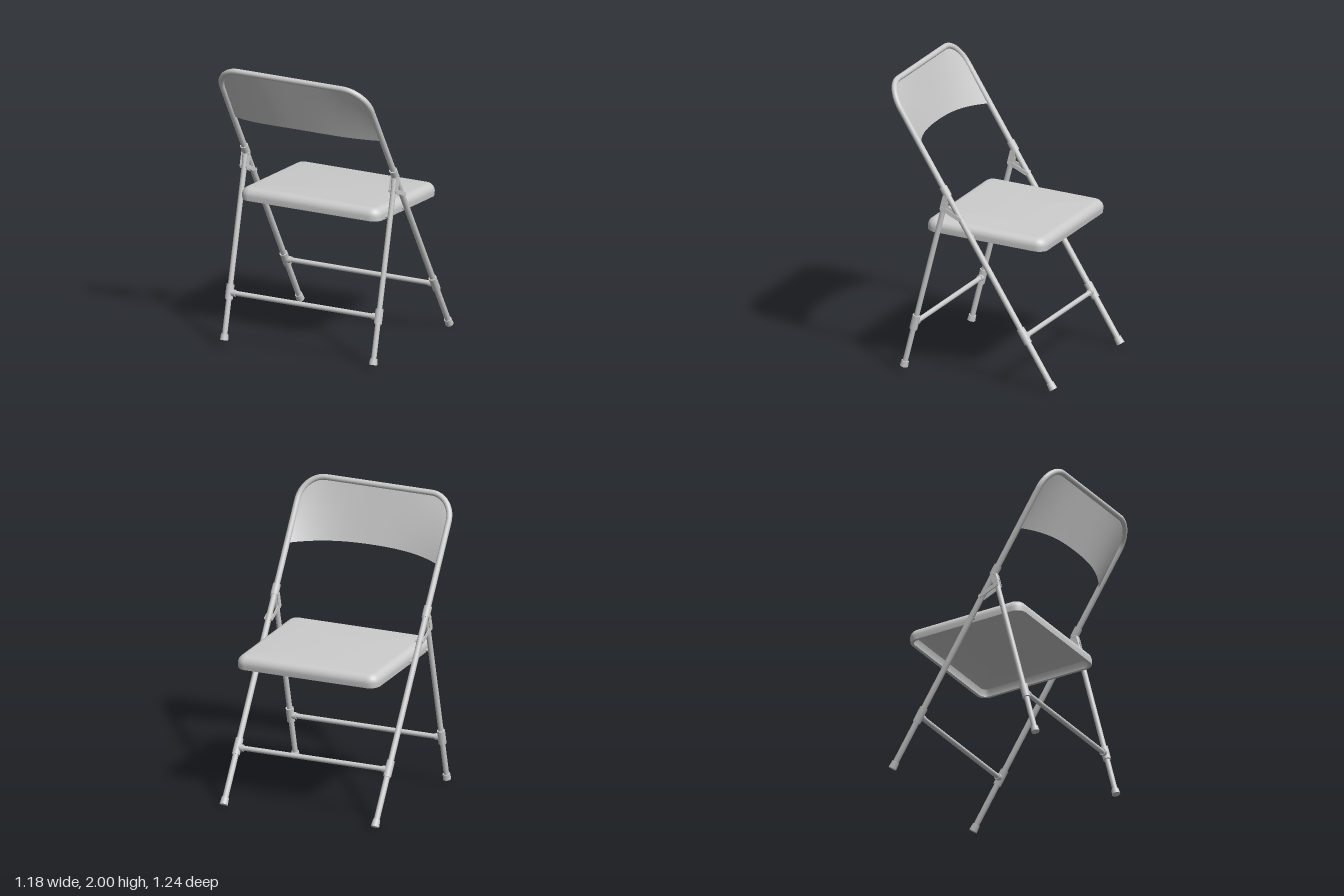
import * as THREE from 'three';
import { toCreasedNormals } from 'three/addons/utils/BufferGeometryUtils.js';

const SIDE = 0.56;   // x of the side tubes
const TOP = 1.98;    // y of the top rail
const CORNER = { x: 0.17, y: 0.155 };
const BAR_Y = 0.355; // height of both crossbars

// z of each sloping tube at a given height
const frameZ = y => -0.595 + (y - 0.015) / 1.6375;
const legZ = y => 0.488 - (y - 0.045) * 0.254;
const onFrame = (x, y) => new THREE.Vector3(x, y, frameZ(y));
const onLeg = (x, y) => new THREE.Vector3(x, y, legZ(y));

const material = new THREE.MeshStandardMaterial({ color: 0xcccccc });
const thin = new THREE.MeshStandardMaterial({ color: 0xcccccc, side: THREE.DoubleSide });

function part(name, geometry, mat = material) {
  const mesh = new THREE.Mesh(geometry, mat);
  mesh.name = name;
  return mesh;
}

// Cylinder from a to b
function rod(name, a, b, r, rEnd = r) {
  const dir = b.clone().sub(a);
  const mesh = part(name, new THREE.CylinderGeometry(rEnd, r, dir.length(), 24));
  mesh.position.copy(a).lerp(b, 0.5);
  mesh.quaternion.setFromUnitVectors(new THREE.Vector3(0, 1, 0), dir.normalize());
  return mesh;
}

// Flat round-ended plate between two points of the side plane, at a given x
function plate(name, x, a, b, r) {
  const ang = Math.atan2(b.y - a.y, a.z - b.z);
  const shape = new THREE.Shape();
  shape.absarc(-b.z, b.y, r, ang - Math.PI / 2, ang + Math.PI / 2);
  shape.absarc(-a.z, a.y, r, ang + Math.PI / 2, ang + Math.PI * 1.5);
  const geo = new THREE.ExtrudeGeometry(shape, { depth: 0.006, bevelEnabled: false, curveSegments: 8 });
  geo.rotateY(Math.PI / 2).translate(x - 0.003, 0, 0);
  return part(name, geo);
}

// Bent tube: front legs, back posts and top rail in one piece
function mainFrame() {
  const k = 0.4477, path = new THREE.CurvePath();
  const low = TOP - CORNER.y, inX = SIDE - CORNER.x;
  const bend = s => [
    onFrame(s * SIDE, low), onFrame(s * SIDE, TOP - CORNER.y * k),
    onFrame(s * (SIDE - CORNER.x * k), TOP), onFrame(s * inX, TOP),
  ];
  path.add(new THREE.LineCurve3(onFrame(-SIDE, 0.03), onFrame(-SIDE, low)));
  path.add(new THREE.CubicBezierCurve3(...bend(-1)));
  path.add(new THREE.LineCurve3(onFrame(-inX, TOP), onFrame(inX, TOP)));
  path.add(new THREE.CubicBezierCurve3(...bend(1).reverse()));
  path.add(new THREE.LineCurve3(onFrame(SIDE, low), onFrame(SIDE, 0.03)));
  return part('mainFrame', new THREE.TubeGeometry(path, 240, 0.02, 16));
}

// Sheet hung inside the top bend, bowing backwards towards its lower edge
function backPanel() {
  const geo = new THREE.PlaneGeometry(2, 1, 48, 12);
  const pos = geo.attributes.position;
  for (let i = 0; i < pos.count; i++) {
    const t = Math.sin(pos.getX(i) * Math.PI / 2), v = pos.getY(i) + 0.5;
    const x = t * (SIDE - 0.005);
    const c = Math.max(0, Math.abs(x) - SIDE + CORNER.x) / CORNER.x;
    const yTop = TOP - CORNER.y * (1 - Math.sqrt(1 - c * c));
    const yLow = 1.6 - 0.03 * t * t;
    const y = yLow + (yTop - yLow) * v;
    pos.setXYZ(i, x, y, frameZ(y) + 0.107 * (1 - Math.abs(t) ** 3) * (1 - v));
  }
  geo.computeVertexNormals();
  return part('backPanel', geo, thin);
}

// Pressed seat pan: rounded rectangles lofted over the edge and up the hollow underside
function seat() {
  const W = 0.525, L = 0.434, H = 0.087, R = 0.055;
  const profile = [[null, H]];
  for (let i = 0; i <= 8; i++) {
    const a = (i / 8) * Math.PI / 2;
    profile.push([R * (1 - Math.sin(a)), H - R * (1 - Math.cos(a))]);
  }
  profile.push([0.003, 0], [0.024, 0], [0.026, 0.02], [0.038, 0.048], [0.085, 0.07], [null, 0.07]);
  const verts = [], index = [], n = 32;
  for (const [inset, y] of profile) {
    const r = inset === null ? 0 : Math.max(0.075 - inset, 0.015);
    for (let j = 0; j < n; j++) {
      const q = Math.floor(j / 8), a = (q + (j % 8) / 7) * Math.PI / 2;
      const sx = q === 0 || q === 3 ? 1 : -1, sz = q < 2 ? 1 : -1;
      if (inset === null) verts.push(0, y, 0);
      else verts.push(sx * (W - inset - r) + r * Math.cos(a), y, sz * (L - inset - r) + r * Math.sin(a));
    }
  }
  for (let i = 0; i < profile.length - 1; i++) {
    for (let j = 0; j < n; j++) {
      const a = i * n + j, b = i * n + (j + 1) % n;
      if (i > 0) index.push(a, b, a + n);
      if (i < profile.length - 2) index.push(b, b + n, a + n);
      if (i === 0) index.push(a, b + n, a + n);
    }
  }
  const geo = new THREE.BufferGeometry();
  geo.setAttribute('position', new THREE.Float32BufferAttribute(verts, 3));
  geo.setIndex(index);
  const mesh = part('seat', toCreasedNormals(geo, 0.6));
  mesh.position.set(0, 0.967, -0.076);
  mesh.rotation.x = -0.062;
  return mesh;
}

// Legs, feet, sleeves, hinge and seat pins of one side
function sideParts(s) {
  const g = new THREE.Group();
  g.name = s > 0 ? 'leftSide' : 'rightSide';
  const x = s * SIDE;
  g.add(rod('rearLeg', onLeg(x, 0.055), onLeg(x, 1.25), 0.018));

  // Rubber feet and crossbar sleeves
  for (const [name, at, y0, y1] of [['front', onFrame, 0.015, 0.058], ['rear', onLeg, 0.045, 0.083]]) {
    g.add(rod(name + 'Foot', at(x, y0), at(x, y1), 0.028, 0.025));
    g.add(rod(name + 'Sleeve', at(x, 0.312), at(x, 0.408), 0.027));
    g.add(rod(name + 'Socket', at(x, BAR_Y), at(x - s * 0.045, BAR_Y), 0.023));
  }

  // Folding hinge: collar on the post, cap on the leg, and paired links
  g.add(rod('hingeCollar', onFrame(x, 1.262), onFrame(x, 1.325), 0.027));
  g.add(rod('legCap', onLeg(x, 1.215), onLeg(x, 1.275), 0.022));
  const legPin = onLeg(x, 1.18), framePin = onFrame(x, 1.12), topPin = onLeg(x, 1.26);
  for (const d of [-0.023, 0.023]) {
    g.add(plate('foldingLink', x + d, legPin, framePin, 0.014));
    g.add(plate('hingePlate', x + d, legPin, topPin, 0.019));
  }
  for (const p of [legPin, framePin, topPin]) {
    const off = new THREE.Vector3(0.029, 0, 0);
    g.add(rod('rivet', p.clone().sub(off), p.clone().add(off), 0.009));
  }

  // Pins carrying the seat
  for (const p of [onFrame(x, 0.995), onLeg(x, 1.005)]) {
    g.add(rod('seatPin', p, p.clone().setX(s * 0.5), 0.009));
  }
  return g;
}

export function createModel() {
  const model = new THREE.Group();
  model.name = 'foldingChair';
  model.add(mainFrame(), backPanel(), seat(), sideParts(1), sideParts(-1));
  model.add(rod('frontCrossbar', onFrame(-SIDE, BAR_Y), onFrame(SIDE, BAR_Y), 0.017));
  model.add(rod('rearCrossbar', onLeg(-SIDE, BAR_Y), onLeg(SIDE, BAR_Y), 0.017));
  return model;
}
